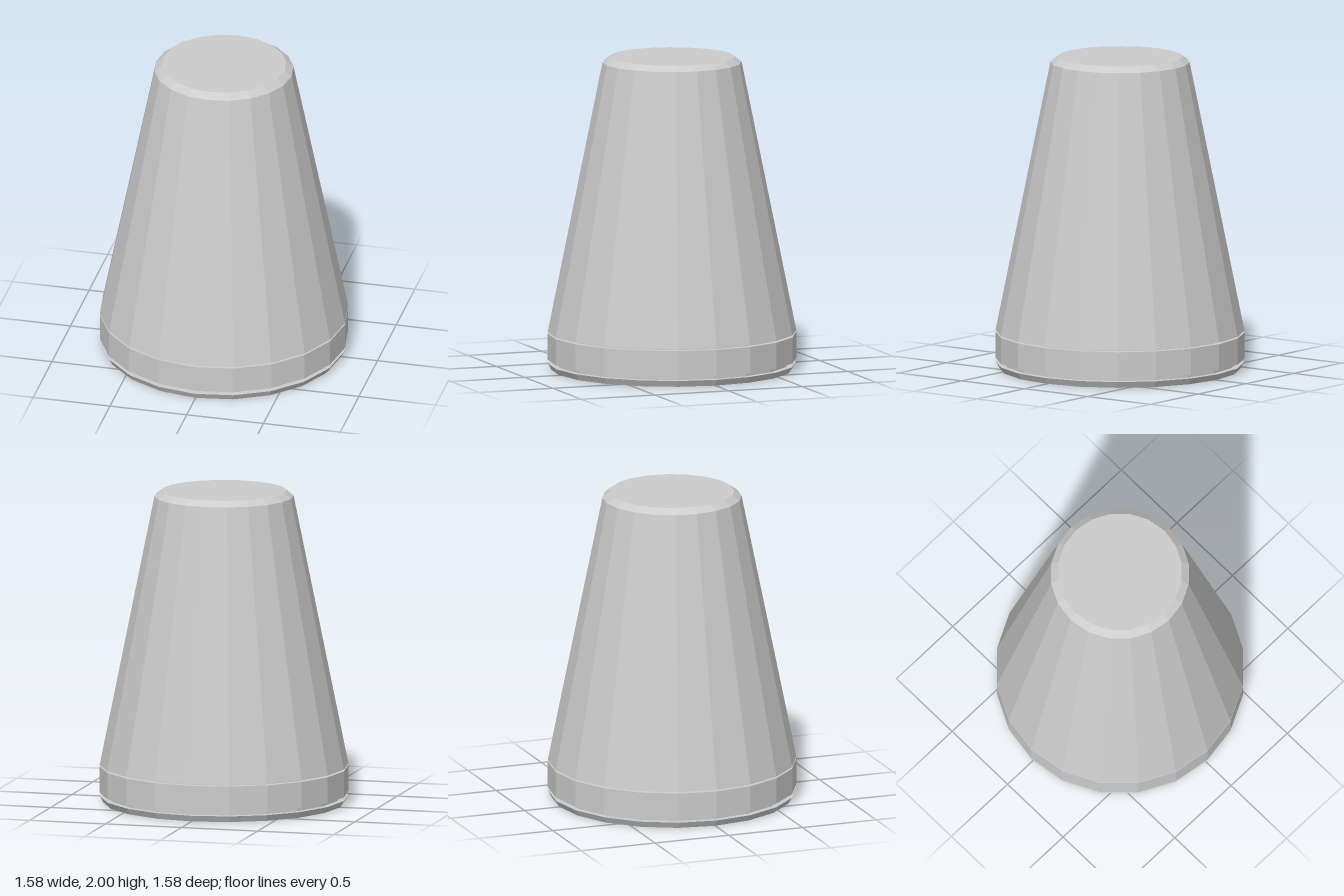
import * as THREE from 'three';

const SIDES = 20;
const CORE = 0.745; // radius inside the grooves

export function createModel() {
  const model = new THREE.Group();
  model.name = 'taperedKnob';
  const material = new THREE.MeshStandardMaterial({ color: 0xcccccc, flatShading: true });

  // Turns a [radius, height] profile, listed from bottom to top, into a faceted part
  const turn = (name, profile) => {
    const points = profile.map(([r, y]) => new THREE.Vector2(r, y));
    const mesh = new THREE.Mesh(new THREE.LatheGeometry(points, SIDES), material);
    mesh.name = name;
    model.add(mesh);
  };

  // Closed base plate, flaring slightly upward
  turn('basePlate', [[0, 0], [0.763, 0], [0.785, 0.04], [CORE, 0.04]]);

  // Recessed groove between plate and band
  turn('lowerGroove', [[CORE, 0.04], [CORE, 0.065]]);

  // Straight band around the foot
  turn('band', [[CORE, 0.065], [0.788, 0.065], [0.788, 0.232], [CORE, 0.232]]);

  // Thin seam under the cone
  turn('upperGroove', [[CORE, 0.232], [CORE, 0.243]]);

  // Tapered body with a bevelled, closed top
  turn('taperedBody', [[CORE, 0.243], [0.788, 0.243], [0.441, 1.965], [0.395, 2], [0, 2]]);

  return model;
}
